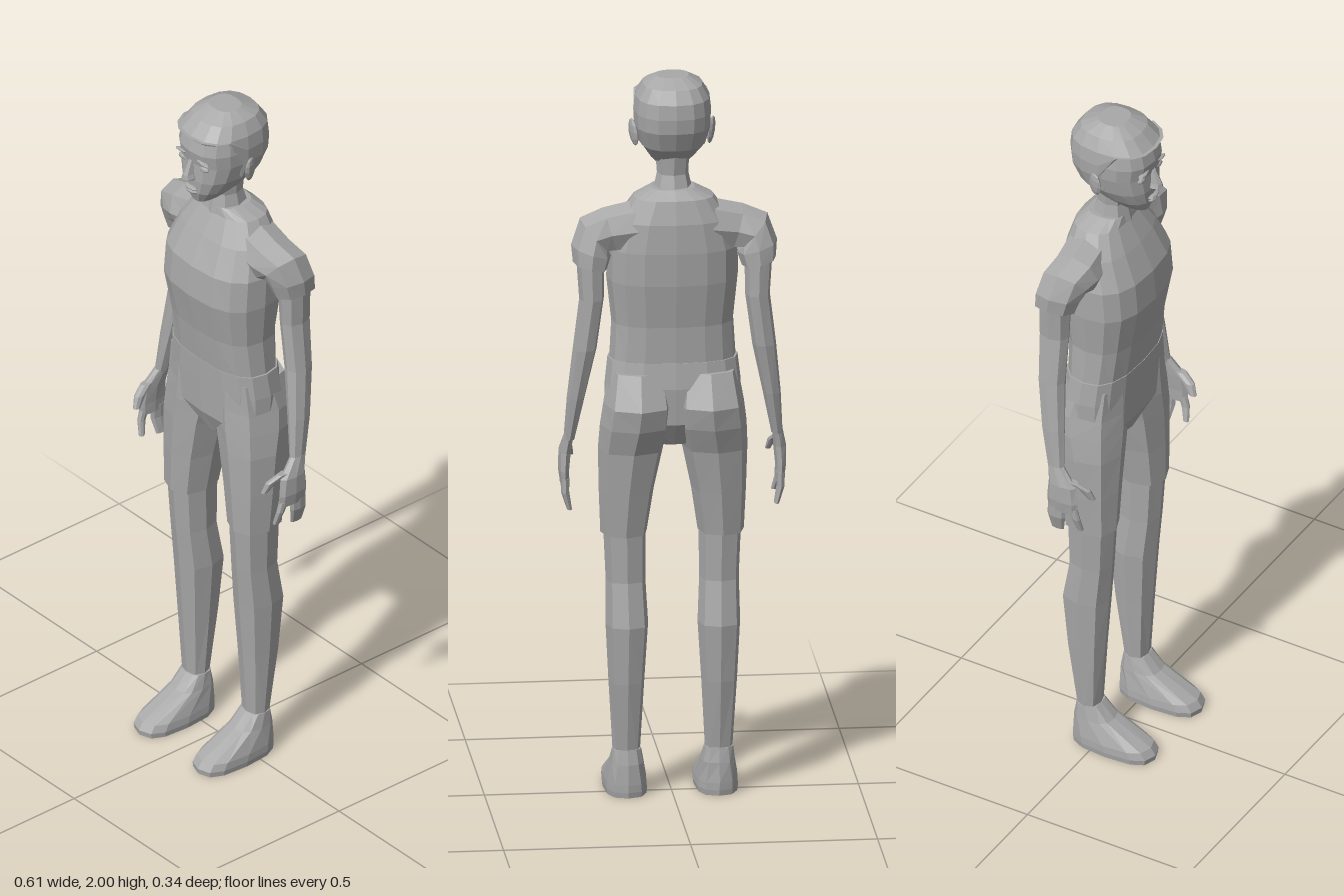
import * as THREE from 'three';

const grey = new THREE.MeshStandardMaterial({ color: 0xa8a8a8 });
grey.name = 'plainGrey';
grey.flatShading = true;

// Skin a stack of rounded rings, listed from top to bottom.
// Ring: [x, y, z, halfWidth, halfDepth, tiltDegrees]; side -1 mirrors it.
function loft(name, rings, { sides = 12, power = 2.3, side = 1, rule } = {}) {
  const pos = [], index = [];
  const bend = v => Math.sign(v) * Math.abs(v) ** (2 / power);
  for (const [x, y, z, rx, rz, tilt = 0] of rings) {
    const t = THREE.MathUtils.degToRad(tilt);
    for (let j = 0; j < sides; j++) {
      const a = (j / sides) * Math.PI * 2;
      const u = bend(Math.cos(a)) * rx, w = bend(Math.sin(a)) * rz;
      const p = new THREE.Vector3(x + u * Math.cos(t), y + u * Math.sin(t), z + w);
      if (rule) rule(p);
      pos.push(p.x * side, p.y, p.z);
    }
  }
  const tri = (a, b, c) => (side > 0 ? index.push(a, b, c) : index.push(a, c, b));
  const last = (rings.length - 1) * sides;
  for (let j = 0; j < sides; j++) {
    const k = (j + 1) % sides;
    for (let i = 0; i < last; i += sides) {
      tri(i + j, i + k, i + sides + j);
      tri(i + k, i + sides + k, i + sides + j);
    }
    if (j > 0 && j < sides - 1) {
      tri(0, k, j);
      tri(last, last + j, last + k);
    }
  }
  let geo = new THREE.BufferGeometry();
  geo.setAttribute('position', new THREE.Float32BufferAttribute(pos, 3));
  geo.setIndex(index);
  geo = geo.toNonIndexed();
  geo.computeVertexNormals();
  const mesh = new THREE.Mesh(geo, grey);
  mesh.name = name;
  return mesh;
}

// Ring given by its extents: y, inner x, outer x, back z, front z
const span = (y, x0, x1, z0, z1) => [(x0 + x1) / 2, y, (z0 + z1) / 2, (x1 - x0) / 2, (z1 - z0) / 2];
// Ring centred on x = 0: y, half width, back z, front z
const mid = (y, w, z0, z1) => span(y, -w, w, z0, z1);

function ball(name, x, y, z, sx, sy, sz) {
  const m = new THREE.Mesh(new THREE.SphereGeometry(1, 8, 6), grey);
  m.name = name;
  m.position.set(x, y, z);
  m.scale.set(sx, sy, sz);
  return m;
}

function createHead() {
  const head = new THREE.Group();
  head.name = 'head';
  const skull = [
    mid(1.996, 0.04, -0.06, 0.01), mid(1.975, 0.076, -0.11, 0.055),
    mid(1.94, 0.095, -0.134, 0.09), mid(1.9, 0.1, -0.138, 0.1),
    mid(1.86, 0.098, -0.134, 0.093), mid(1.81, 0.085, -0.112, 0.096),
    mid(1.77, 0.06, -0.065, 0.093), mid(1.735, 0.028, -0.02, 0.08),
  ];
  head.add(loft('face', skull, { sides: 16, power: 2.5 }));

  // hair cap: a shell just outside the skull, lifted at the forehead
  const cap = skull.slice(0, 6).map(([x, y, z, w, d]) => [x, y + 0.004, z, w + 0.004, d + 0.004]);
  const hairline = p => { if (p.z > 0.03) p.y = Math.max(p.y, 1.945); };
  head.add(loft('hairCap', cap, { sides: 16, power: 2.5, rule: hairline }));

  head.add(loft('nose', [
    mid(1.87, 0.008, 0.07, 0.1), mid(1.83, 0.013, 0.07, 0.12),
    mid(1.817, 0.018, 0.07, 0.122), mid(1.808, 0.012, 0.07, 0.1),
  ], { sides: 8 }));
  head.add(ball('upperLip', 0, 1.785, 0.094, 0.025, 0.006, 0.012));
  head.add(ball('lowerLip', 0, 1.773, 0.091, 0.021, 0.007, 0.012));
  for (const s of [1, -1]) {
    head.add(ball('eye', s * 0.043, 1.856, 0.083, 0.018, 0.009, 0.009));
    const brow = ball('brow', s * 0.043, 1.879, 0.089, 0.024, 0.004, 0.009);
    brow.rotation.z = -s * 0.12;
    head.add(brow);
    const ear = ball('ear', s * 0.104, 1.842, -0.025, 0.009, 0.038, 0.023);
    ear.rotation.set(0.15, s * 0.35, -s * 0.15);
    head.add(ear);
  }
  return head;
}

function createArm(side) {
  const arm = new THREE.Group();
  arm.name = side > 0 ? 'leftArm' : 'rightArm';
  const o = { side, sides: 8 };
  arm.add(loft('sleeve', [
    [0.1, 1.59, -0.05, 0.07, 0.07, 82], [0.17, 1.58, -0.045, 0.063, 0.068, 75],
    [0.212, 1.57, -0.055, 0.06, 0.066, 50], [0.222, 1.53, -0.068, 0.056, 0.064, 18],
    [0.226, 1.49, -0.076, 0.047, 0.058, 14],
  ], o));
  arm.add(loft('armSkin', [
    [0.225, 1.52, -0.076, 0.038, 0.045], [0.222, 1.4, -0.08, 0.033, 0.043],
    [0.24, 1.26, -0.077, 0.032, 0.038], [0.262, 1.12, -0.06, 0.024, 0.033],
    [0.278, 1.0, -0.042, 0.015, 0.024],
  ], o));
  arm.add(loft('palm', [
    [0.279, 1.01, -0.042, 0.014, 0.023], [0.287, 0.96, -0.018, 0.017, 0.042],
    [0.29, 0.91, -0.016, 0.015, 0.047], [0.288, 0.875, -0.016, 0.012, 0.045],
  ], o));
  arm.add(loft('indexFinger', [
    [0.288, 0.89, 0.014, 0.01, 0.014], [0.287, 0.86, 0.024, 0.009, 0.012],
    [0.276, 0.82, 0.032, 0.007, 0.008],
  ], o));
  arm.add(loft('fingers', [
    [0.288, 0.89, -0.034, 0.012, 0.028], [0.288, 0.85, -0.036, 0.011, 0.027],
    [0.277, 0.803, -0.038, 0.007, 0.019],
  ], o));
  arm.add(loft('thumb', [
    [0.283, 0.975, 0.008, 0.012, 0.02], [0.272, 0.955, 0.042, 0.011, 0.018],
    [0.264, 0.925, 0.06, 0.008, 0.01],
  ], o));
  return arm;
}

function createLeg(side) {
  const leg = new THREE.Group();
  leg.name = side > 0 ? 'leftLeg' : 'rightLeg';
  const o = { side, sides: 8, power: 2.5 };
  leg.add(loft('shortsLeg', [
    span(1.19, 0.015, 0.172, -0.125, 0.055), span(1.1, 0.003, 0.188, -0.168, 0.058),
    span(1.04, 0.006, 0.196, -0.155, 0.06), span(0.97, 0.025, 0.2, -0.127, 0.06),
    span(0.85, 0.05, 0.197, -0.108, 0.058), span(0.73, 0.068, 0.192, -0.09, 0.055),
  ], o));
  leg.add(loft('lowerLeg', [
    span(0.76, 0.07, 0.185, -0.086, 0.05), span(0.6, 0.072, 0.178, -0.082, 0.04),
    span(0.48, 0.066, 0.18, -0.104, 0.03), span(0.32, 0.076, 0.172, -0.088, 0.018),
    span(0.12, 0.087, 0.16, -0.058, 0.004),
  ], o));
  leg.add(loft('foot', [
    span(0.13, 0.084, 0.162, -0.06, 0.006), span(0.09, 0.076, 0.168, -0.068, 0.045),
    span(0.035, 0.064, 0.18, -0.073, 0.158), span(0.015, 0.062, 0.181, -0.073, 0.172),
    span(0, 0.064, 0.179, -0.071, 0.17),
  ], { side, sides: 12, power: 2.8 }));
  return leg;
}

export function createModel() {
  const model = new THREE.Group();
  model.name = 'standingPerson';
  model.add(createHead());
  model.add(loft('neck', [
    mid(1.79, 0.046, -0.08, 0.03), mid(1.73, 0.042, -0.072, 0.012), mid(1.67, 0.055, -0.09, 0.025),
  ], { sides: 8 }));
  model.add(loft('shirt', [
    mid(1.695, 0.058, -0.092, 0.016), mid(1.672, 0.108, -0.118, 0.02),
    mid(1.61, 0.15, -0.134, 0.055), mid(1.53, 0.175, -0.138, 0.094),
    mid(1.44, 0.176, -0.134, 0.102), mid(1.32, 0.163, -0.116, 0.078),
    mid(1.2, 0.17, -0.112, 0.062),
  ], { sides: 16, power: 2.6 }));
  model.add(loft('hips', [
    mid(1.22, 0.174, -0.115, 0.066), mid(1.15, 0.182, -0.125, 0.063),
    mid(1.05, 0.18, -0.12, 0.058), mid(0.985, 0.05, -0.08, 0.03),
  ], { sides: 16, power: 2.6 }));
  for (const side of [1, -1]) model.add(createArm(side), createLeg(side));
  return model;
}
